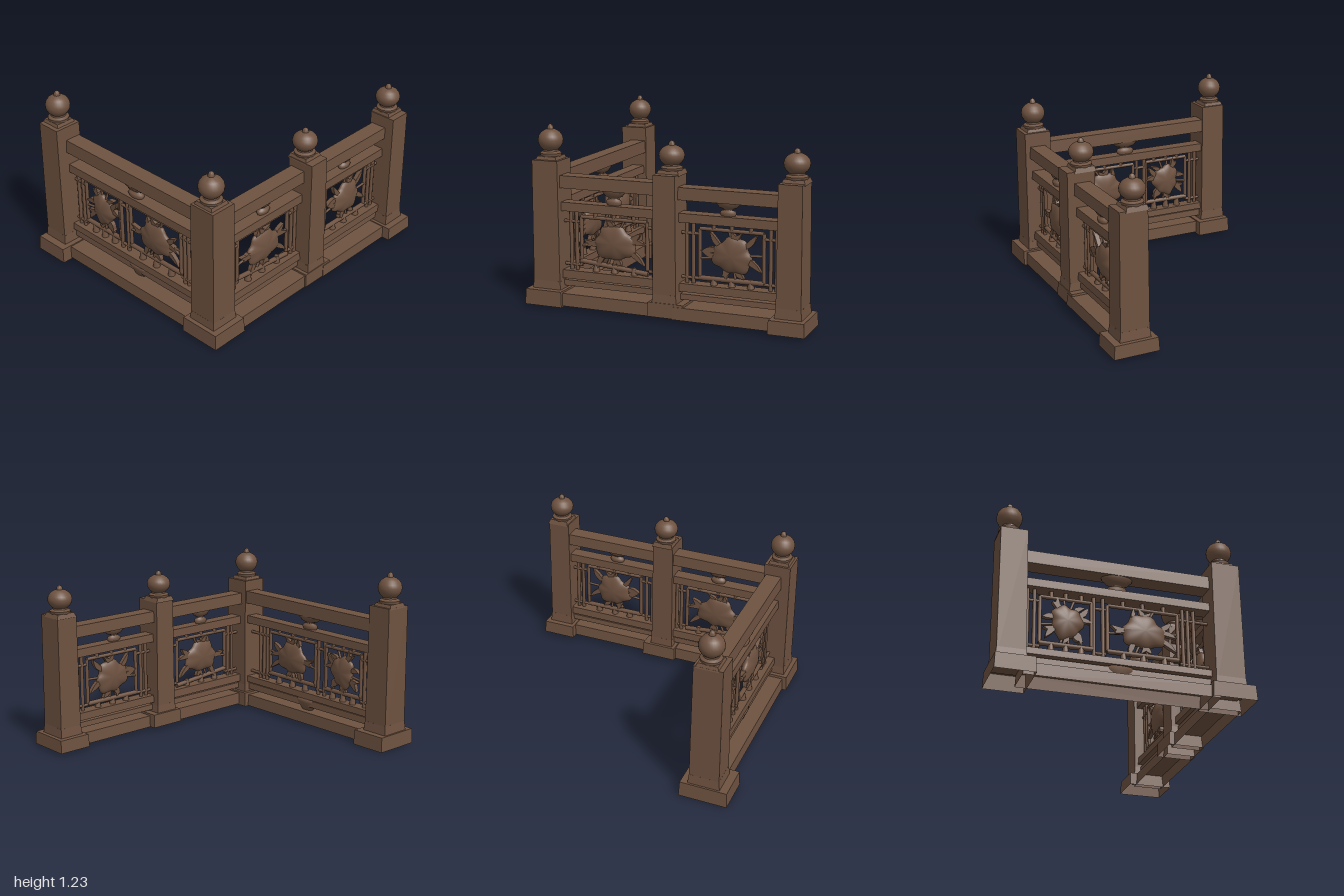
import * as THREE from 'three';
import { toCreasedNormals } from 'three/addons/utils/BufferGeometryUtils.js';

const wood = new THREE.MeshStandardMaterial({ color: 0x6e5240, side: THREE.DoubleSide });
wood.name = 'brown wood';

function add(parent, name, geo) {
  const m = new THREE.Mesh(geo, wood);
  m.name = name;
  parent.add(m);
  return m;
}

// Box from its limits; the top can be drawn in, the underside can be left open
function block(parent, name, [x0, x1], [y0, y1], [z0, z1], inset = 0, hollow = false) {
  const geo = new THREE.BoxGeometry(x1 - x0, y1 - y0, z1 - z0);
  const p = geo.attributes.position;
  for (let i = 0; i < p.count; i++) {
    if (p.getY(i) > 0) {
      p.setX(i, p.getX(i) - Math.sign(p.getX(i)) * inset);
      p.setZ(i, p.getZ(i) - Math.sign(p.getZ(i)) * inset);
    }
  }
  if (hollow) {
    const idx = Array.from(geo.index.array);
    idx.splice(18, 6);
    geo.setIndex(idx);
    geo.clearGroups();
  }
  geo.computeVertexNormals();
  const m = add(parent, name, geo);
  m.position.set((x0 + x1) / 2, (y0 + y1) / 2, (z0 + z1) / 2);
  return m;
}

// Round bar between two points in the panel plane
function bar(parent, name, x0, y0, x1, y1, r) {
  const len = Math.hypot(x1 - x0, y1 - y0);
  const m = add(parent, name, new THREE.CylinderGeometry(r, r, len, 10));
  m.position.set((x0 + x1) / 2, (y0 + y1) / 2, 0);
  m.rotation.z = Math.atan2(y1 - y0, x1 - x0) - Math.PI / 2;
}

function lathe(parent, name, pts, segs = 28) {
  const geo = new THREE.LatheGeometry(pts.map(([r, y]) => new THREE.Vector2(r, y)), segs);
  return add(parent, name, toCreasedNormals(geo, 0.7));
}

const FINIAL = [[0.062, 0], [0.07, 0.025], [0.072, 0.04], [0.052, 0.052], [0.05, 0.062], [0.068, 0.08],
  [0.081, 0.105], [0.084, 0.13], [0.078, 0.155], [0.062, 0.178], [0.04, 0.193], [0.022, 0.2],
  [0.02, 0.213], [0.014, 0.226], [0, 0.234]];

function post(parent, { x, z, plinth, top, finial, h }) {
  const g = new THREE.Group();
  g.name = 'post';
  parent.add(g);
  block(g, 'plinth', plinth[0], plinth[2], plinth[1], 0.005, true);
  block(g, 'postFoot', [x[0] - 0.008, x[1] + 0.008], [0.09, 0.17], [z[0] - 0.008, z[1] + 0.008], 0.008);
  block(g, 'postShaft', x, [0.1, top], z, 0.005);
  const [fx, fz] = finial;
  block(g, 'finialStep', [fx - 0.078, fx + 0.078], [top - 0.01, top + 0.022], [fz - 0.078, fz + 0.078], 0.012);
  const f = lathe(g, 'finial', FINIAL);
  f.position.set(fx, top, fz);
  f.scale.y = h / 0.234;
}

// Curved pointed leaf
function leafGeometry(len, wid, curl) {
  const s = new THREE.Shape();
  s.moveTo(0, -wid * 0.4);
  s.quadraticCurveTo(len * 0.6, -wid, len, curl);
  s.quadraticCurveTo(len * 0.45, wid * 1.2, 0, wid * 0.5);
  return new THREE.ExtrudeGeometry(s, { depth: 0.03, bevelEnabled: false, curveSegments: 6 }).translate(0, 0, -0.015);
}

// Flower carving: lobed cushion with leaves and stems reaching to the frame
function carving(parent, [a, b, y0, y1], seed) {
  const g = new THREE.Group();
  g.name = 'flowerCarving';
  g.position.set((a + b) / 2 + 0.005, (y0 + y1) / 2, 0);
  parent.add(g);
  const rx = (b - a) * 0.31, ry = (y1 - y0) * 0.37;
  const geo = new THREE.SphereGeometry(1, 40, 16).rotateX(Math.PI / 2);
  const p = geo.attributes.position;
  for (let i = 0; i < p.count; i++) {
    const t = Math.atan2(p.getY(i), p.getX(i));
    const k = 1 + 0.08 * Math.sin(3 * t + seed) + 0.06 * Math.sin(7 * t + seed * 2);
    p.setXYZ(i, p.getX(i) * rx * k, p.getY(i) * ry * k, p.getZ(i) * 0.04);
  }
  geo.computeVertexNormals();
  add(g, 'flower', geo);
  const n = 11;
  for (let i = 0; i < n; i++) {
    const t = (i / n) * Math.PI * 2 + 0.3 * Math.sin(seed + i * 2.3);
    const reach = Math.min((b - a) / 2 / Math.max(Math.abs(Math.cos(t)), 0.01),
      (y1 - y0) / 2 / Math.max(Math.abs(Math.sin(t)), 0.01));
    const start = Math.hypot(rx * Math.cos(t), ry * Math.sin(t)) * 0.85;
    const len = Math.max(0.05, (reach - start) * (0.8 + 0.15 * Math.sin(i * 1.7 + seed)));
    const leaf = add(g, 'leaf', leafGeometry(len, 0.026, 0.03 * (i % 2 ? 1 : -1)));
    leaf.position.set(start * Math.cos(t), start * Math.sin(t), 0);
    leaf.rotation.z = t;
  }
  for (const [sx, sy] of [[-0.25, -1], [0.1, -1], [-0.1, 1], [0.3, 1], [1, 0.1], [-1, -0.2]]) {
    bar(g, 'stem', sx * rx * 0.7, sy * ry * 0.7, sx * (b - a) * 0.5, sy * (y1 - y0) * 0.5, 0.009);
  }
}

// One railing bay, running along local x and facing local +z
function bay(parent, o) {
  const g = new THREE.Group();
  g.name = o.name;
  parent.add(g);
  const span = [o.u[0] - 0.02, o.u[1] + 0.02];
  block(g, 'baseBeam', span, o.base, [-0.077, 0.13], 0.006, true);
  block(g, 'handRail', span, o.top, [-0.062, 0.06], 0.006);
  block(g, 'middleRail', span, o.mid, [-0.05, 0.05], 0.004);
  block(g, 'lowerRail', span, o.low, [-0.05, 0.05], 0.004);
  block(g, 'footRail', span, o.foot, [-0.035, 0.035], 0.004);

  // Lotus bracket under the hand rail and small drop under the lower rail
  const cup = lathe(g, 'lotusBracket', [[0.055, 0], [0.068, 0.2], [0.06, 0.35], [0.035, 0.42], [0.04, 0.5],
    [0.075, 0.6], [0.085, 0.72], [0.1, 0.82], [0.104, 1], [0, 1]]);
  cup.scale.set(o.cupScale, o.top[0] - o.mid[1] + 0.01, o.cupScale * 0.55);
  cup.position.set(o.cup, o.mid[1] - 0.005, 0);
  if (o.drop) {
    const drop = lathe(g, 'lowerBracket', [[0, 0], [0.045, 0], [0.07, 0.3], [0.1, 0.65], [0.1, 0.9], [0.06, 1]]);
    drop.scale.set(1, o.low[0] - o.base[1] + 0.01, 0.5);
    drop.position.set(o.cup + 0.01, o.base[1] - 0.005, 0);
  }

  // Lattice uprights and the ties between them
  for (const u of o.bars) bar(g, 'latticeUpright', u, o.low[1] - 0.01, u, o.mid[0] + 0.01, 0.013);
  for (const [a, b] of o.ties) {
    for (const y of [o.low[1] + 0.035, o.mid[0] - 0.075]) bar(g, 'latticeTie', a, y, b, y, 0.011);
  }

  // Framed flower carvings, held to the rails by short stubs
  o.frames.forEach((f, i) => {
    const [a, b, y0, y1, tilt = 0] = f;
    bar(g, 'frameTop', a, y1, b, y1, 0.013);
    bar(g, 'frameBottom', a - 0.005, y0 + tilt, b + 0.005, y0 - tilt, 0.017);
    for (const u of [a, b]) bar(g, 'frameSide', u, y0, u, y1, 0.013);
    for (const k of [0.22, 0.5, 0.8]) {
      const u = a + (b - a) * k;
      const foot = add(g, 'frameStub', new THREE.CylinderGeometry(0.014, 0.026, y0 - o.low[1] + 0.02, 10));
      foot.position.set(u, (y0 + o.low[1]) / 2, 0);
      bar(g, 'frameStub', u, y1, u, o.mid[0] + 0.01, 0.014);
    }
    carving(g, f, o.seed + i * 1.9);
  });
  return g;
}

export function createModel() {
  const model = new THREE.Group();
  model.name = 'cornerRailing';

  // Posts: outer front, corner, side middle, side back
  post(model, { x: [-0.845, -0.66], z: [0.73, 0.935], top: 1.0, finial: [-0.765, 0.825], h: 0.234,
    plinth: [[-0.87, -0.61], [0.67, 1], [0, 0.105]] });
  post(model, { x: [0.565, 0.765], z: [0.725, 0.92], top: 0.98, finial: [0.66, 0.825], h: 0.232,
    plinth: [[0.525, 0.82], [0.69, 0.96], [0.01, 0.115]] });
  post(model, { x: [0.59, 0.795], z: [-0.12, 0.04], top: 0.945, finial: [0.66, -0.042], h: 0.208,
    plinth: [[0.56, 0.81], [-0.18, 0.075], [0.02, 0.115]] });
  post(model, { x: [0.61, 0.81], z: [-0.96, -0.795], top: 0.95, finial: [0.685, -0.882], h: 0.21,
    plinth: [[0.56, 0.87], [-1, -0.76], [0.015, 0.105]] });

  // Wide front bay
  bay(model, {
    name: 'frontBay', u: [-0.66, 0.565], top: [0.812, 0.902], mid: [0.655, 0.712], low: [0.19, 0.236],
    foot: [0.13, 0.178], base: [0.012, 0.097], cup: -0.045, cupScale: 1, drop: true, seed: 1,
    bars: [-0.63, -0.585, -0.2, -0.14, 0.395, 0.43, 0.47],
    ties: [[-0.66, -0.55], [-0.21, -0.12], [0.37, 0.565]],
    frames: [[-0.55, -0.215, 0.295, 0.615], [-0.11, 0.36, 0.295, 0.615]],
  }).position.z = 0.8;

  // Two side bays
  const sides = [
    { name: 'sideFrontBay', x: 0.67, u: [-0.725, -0.04], top: [0.8, 0.882], mid: [0.645, 0.703], low: [0.187, 0.243],
      foot: [0.133, 0.172], base: [0.018, 0.103], cup: -0.365, cupScale: 0.82, seed: 2.6,
      bars: [-0.68, -0.64, -0.085, -0.05], ties: [[-0.73, -0.6], [-0.12, -0.04]],
      frames: [[-0.605, -0.13, 0.283, 0.605, 0.024]] },
    { name: 'sideBackBay', x: 0.685, u: [0.12, 0.795], top: [0.788, 0.868], mid: [0.642, 0.7], low: [0.187, 0.24],
      foot: [0.13, 0.167], base: [0.018, 0.1], cup: 0.435, cupScale: 0.82, seed: 4.1,
      bars: [0.155, 0.2, 0.72, 0.76], ties: [[0.12, 0.25], [0.67, 0.795]],
      frames: [[0.245, 0.675, 0.28, 0.603]] },
  ];
  for (const s of sides) {
    const g = bay(model, s);
    g.rotation.y = Math.PI / 2;
    g.position.x = s.x;
  }
  return model;
}
